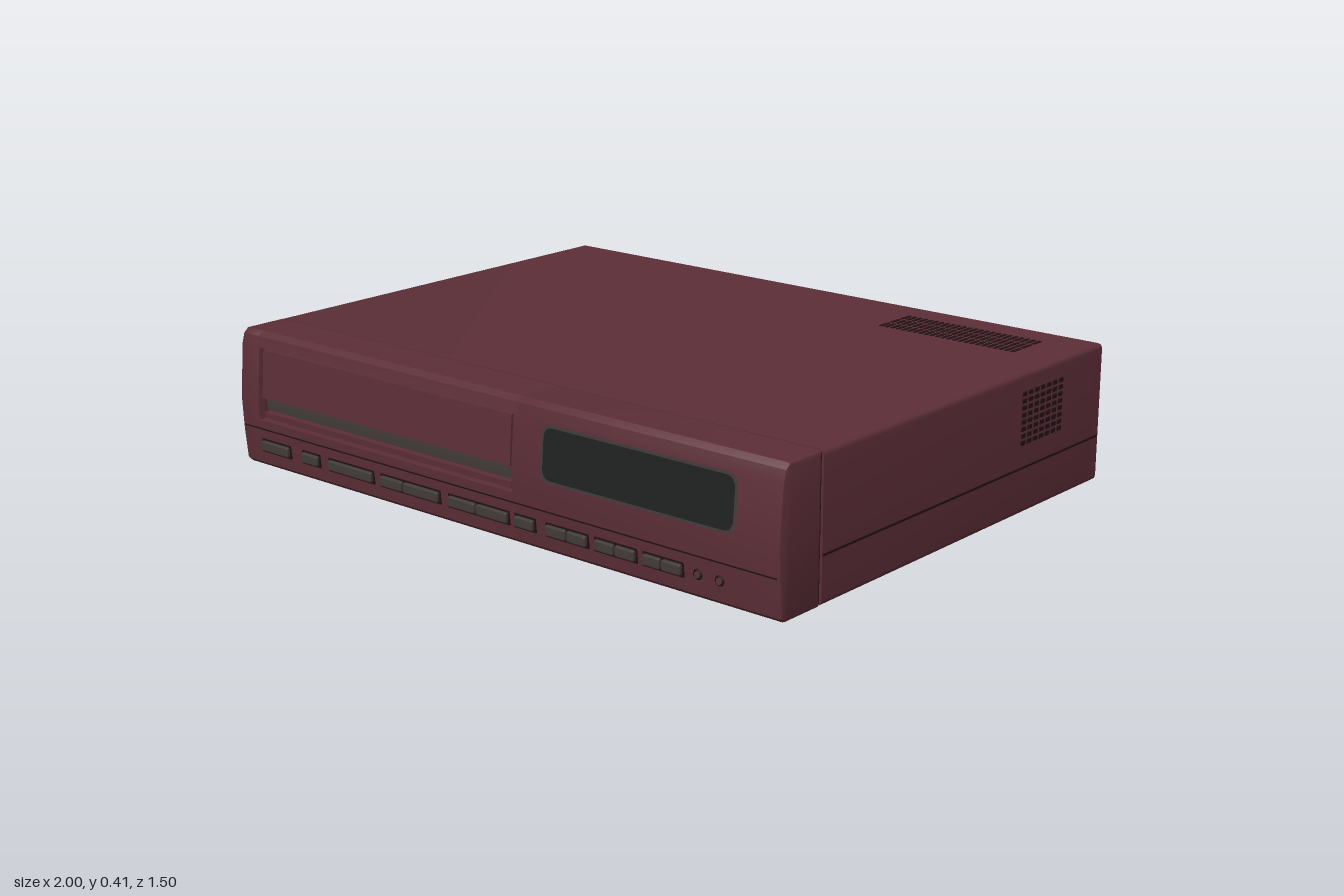
import * as THREE from 'three';
import { mergeGeometries, toCreasedNormals } from 'three/addons/utils/BufferGeometryUtils.js';
import { RoundedBoxGeometry } from 'three/addons/geometries/RoundedBoxGeometry.js';

// Front curve of the fascia as [y, z] pairs
const FRONT = [[0, 0.72], [0.012, 0.734], [0.1, 0.743], [0.2, 0.748], [0.36, 0.735], [0.392, 0.726], [0.406, 0.71]];
const TOP = 0.406, SEAM_Z = 0.582;

function frontZ(y) {
  for (let i = 1; i < FRONT.length; i++) {
    const [y0, z0] = FRONT[i - 1], [y1, z1] = FRONT[i];
    if (y <= y1) return z0 + (z1 - z0) * (y - y0) / (y1 - y0);
  }
  return FRONT[FRONT.length - 1][1];
}

// Solid slice of the fascia between two heights and two x positions
function fasciaSlice(x0, x1, y0, y1, inset = 0, bevel = 0) {
  const ys = [y0, ...FRONT.map(p => p[0]).filter(y => y > y0 && y < y1), y1];
  const shape = new THREE.Shape([
    new THREE.Vector2(-SEAM_Z, y1), new THREE.Vector2(-SEAM_Z, y0),
    ...ys.map(y => new THREE.Vector2(inset - frontZ(y), y)),
  ]);
  const geo = new THREE.ExtrudeGeometry(shape, {
    depth: x1 - x0 - 2 * bevel, bevelEnabled: bevel > 0, bevelSize: bevel,
    bevelThickness: bevel, bevelOffset: -bevel, bevelSegments: 2,
  });
  geo.rotateY(Math.PI / 2).translate(x0 + bevel, 0, 0);
  return toCreasedNormals(geo, 0.5);
}

function roundedRect(x0, y0, x1, y1, r) {
  const s = new THREE.Shape();
  s.moveTo(x0 + r, y0).lineTo(x1 - r, y0).quadraticCurveTo(x1, y0, x1, y0 + r);
  s.lineTo(x1, y1 - r).quadraticCurveTo(x1, y1, x1 - r, y1);
  s.lineTo(x0 + r, y1).quadraticCurveTo(x0, y1, x0, y1 - r);
  s.lineTo(x0, y0 + r).quadraticCurveTo(x0, y0, x0 + r, y0);
  return s;
}

const box = (w, h, d, x, y, z) => new THREE.BoxGeometry(w, h, d).translate(x, y, z);

export function createModel() {
  const group = new THREE.Group();
  const paint = (name, color) => {
    const m = new THREE.MeshStandardMaterial({ color });
    m.name = name;
    return m;
  };
  const maroon = paint('maroon casing', 0x5c2e37);
  const seam = paint('dark seam', 0x211215);
  const grey = paint('warm grey', 0x413b39);
  const glass = paint('display black', 0x1f2221);
  const add = (name, geo, mat) => {
    const mesh = new THREE.Mesh(geo, mat);
    mesh.name = name;
    group.add(mesh);
    return mesh;
  };

  // Casing behind the fascia
  const casing = new THREE.ExtrudeGeometry(roundedRect(-1, 0, 1, TOP, 0.016),
    { depth: 1.316, bevelEnabled: false, curveSegments: 4 });
  add('casing', toCreasedNormals(casing.translate(0, 0, -0.739), 0.5), maroon);
  add('fasciaJoint', box(1.986, TOP - 0.014, 0.03, 0, TOP / 2, 0.583), seam);

  // Rear corner posts
  for (const s of [-1, 1]) {
    add('rearCornerPost', new RoundedBoxGeometry(0.07, TOP, 0.06, 2, 0.014)
      .translate(s * 0.965, TOP / 2, -0.72), maroon);
    // Joint line along each side
    add('sideJoint', box(0.004, 0.006, 1.31, s * 1, 0.135, -0.08), seam);
  }

  // Fascia, left open around the tape door
  const open = { x0: -0.92, x1: 0.1, y0: 0.145, y1: 0.362 };
  add('fasciaRightEnd', fasciaSlice(-1, open.x0, 0, TOP, 0, 0.01), maroon);
  add('fasciaLeftEnd', fasciaSlice(open.x1, 1, 0, TOP, 0, 0.01), maroon);
  add('fasciaTopRail', fasciaSlice(open.x0 - 0.02, open.x1 + 0.02, open.y1, TOP), maroon);
  add('fasciaBottomRail', fasciaSlice(open.x0 - 0.02, open.x1 + 0.02, 0, open.y0), maroon);
  add('doorRecess', fasciaSlice(open.x0 - 0.005, open.x1 + 0.005, open.y0 - 0.005, open.y1 + 0.005, 0.04), seam);
  add('tapeDoor', fasciaSlice(-0.91, 0.092, 0.213, 0.354, 0.008), maroon);
  add('tapeSlot', fasciaSlice(-0.91, 0.092, 0.172, 0.206, 0.025), grey);
  add('tapeSlotSill', fasciaSlice(-0.91, 0.092, 0.15, 0.168, 0.012), maroon);
  add('fasciaGroove', box(1.98, 0.004, 0.004, 0, 0.118, frontZ(0.118) - 0.001), seam);

  // Display window, laid on the sloping front
  const plate = (shape, lift) => {
    const geo = new THREE.ShapeGeometry(shape, 6);
    const p = geo.attributes.position;
    for (let i = 0; i < p.count; i++) p.setZ(i, frontZ(p.getY(i)) + lift);
    geo.computeVertexNormals();
    return geo;
  };
  add('displayFrame', plate(roundedRect(0.21, 0.2, 0.865, 0.356, 0.035), 0.002), grey);
  add('displayWindow', plate(roundedRect(0.22, 0.208, 0.857, 0.349, 0.032), 0.004), glass);

  // Row of push buttons, given as [start, end] in x, each in a dark surround
  const buttons = [[-0.91, -0.795], [-0.735, -0.668], [-0.622, -0.442], [-0.405, -0.318], [-0.312, -0.176],
    [-0.136, -0.034], [-0.028, 0.086], [0.115, 0.182], [0.228, 0.298], [0.304, 0.37], [0.4, 0.465],
    [0.471, 0.536], [0.565, 0.622], [0.628, 0.69]];
  for (const [a, b] of buttons) {
    add('buttonSurround', box(b - a + 0.01, 0.04, 0.02, (a + b) / 2, 0.069, 0.733), seam);
    add('button', new RoundedBoxGeometry(b - a, 0.03, 0.03, 2, 0.005).translate((a + b) / 2, 0.069, 0.738), grey);
  }
  // Two round sockets
  for (const x of [0.74, 0.81]) {
    add('socketRim', new THREE.TorusGeometry(0.012, 0.003, 6, 16).translate(x, 0.069, 0.741), seam);
    add('socketCentre', new THREE.CylinderGeometry(0.009, 0.009, 0.02, 14)
      .rotateX(Math.PI / 2).translate(x, 0.069, 0.735), maroon);
  }

  // Cooling slots on the top
  const topSlots = [];
  for (let i = 0; i < 24; i++) {
    for (let j = 0; j < 3; j++) {
      topSlots.push(box(0.01, 0.004, 0.044, 0.405 + i * 0.0195, TOP, -0.625 + j * 0.054));
    }
  }
  add('topVent', mergeGeometries(topSlots), seam);

  // Cooling slots on both sides
  const sideSlots = [];
  for (const s of [-1, 1]) {
    for (let i = 0; i < 7; i++) {
      for (let j = 0; j < 8; j++) {
        sideSlots.push(box(0.004, 0.012, 0.021, s, 0.207 + j * 0.02, -0.52 + i * 0.031));
      }
    }
  }
  add('sideVents', mergeGeometries(sideSlots), seam);

  // Two tapered connector sockets on the back
  const socket = (name, y0, y1, taper) => {
    const shape = new THREE.Shape([[-0.28, y1], [-0.28 + taper * 0.3, y0], [0.24 - taper, y0], [0.24, y1]]
      .map(([x, y]) => new THREE.Vector2(x, y)));
    const geo = new THREE.ExtrudeGeometry(shape, { depth: 0.006, bevelEnabled: false });
    add(name, geo.translate(0, 0, -0.744), grey);
  };
  socket('upperRearSocket', 0.325, 0.37, 0.02);
  socket('lowerRearSocket', 0.05, 0.1, 0.1);
  add('upperSocketContacts', box(0.4, 0.01, 0.004, -0.02, 0.347, -0.744), seam);

  return group;
}
